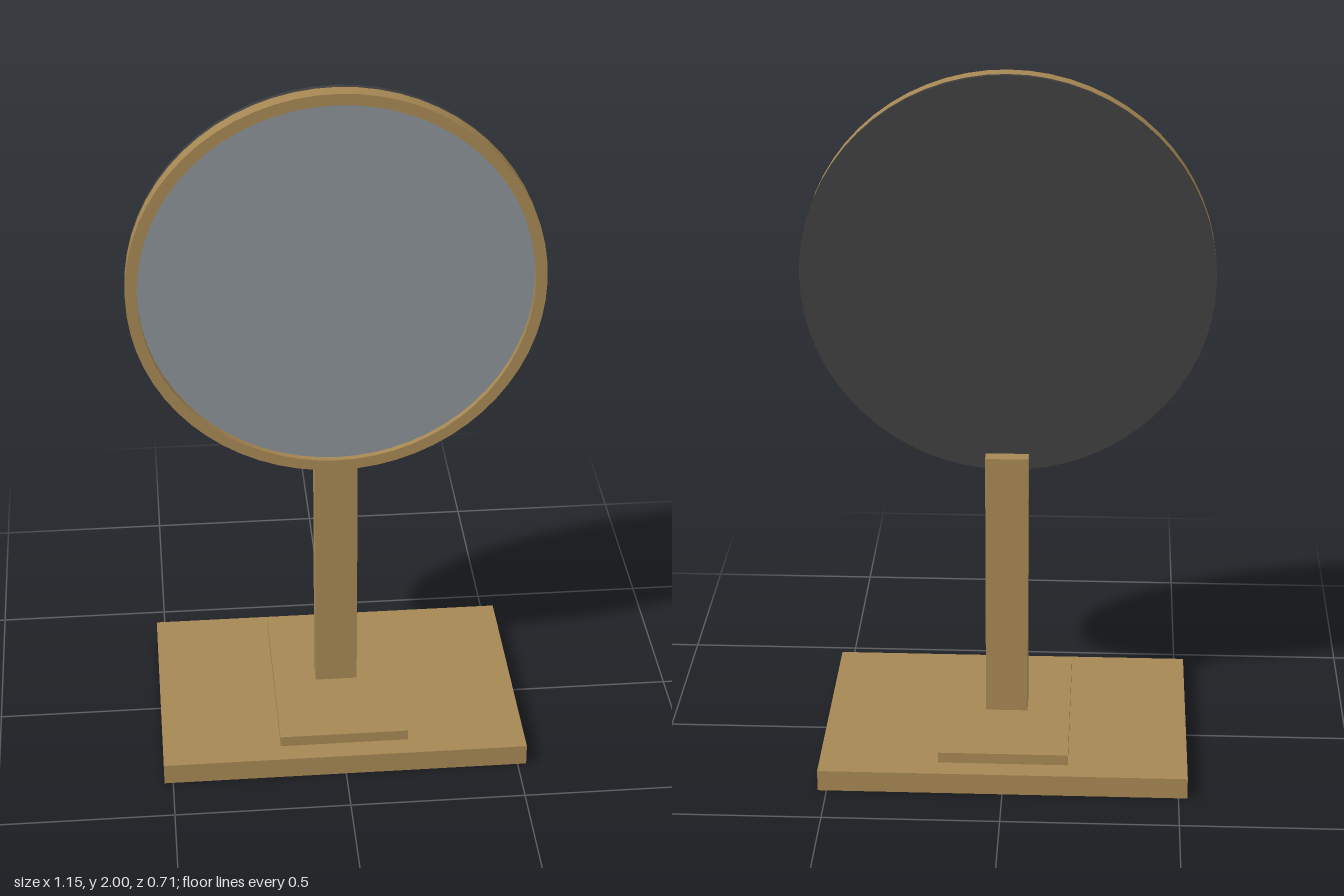
import * as THREE from 'three';

export function createModel() {
  const model = new THREE.Group();
  model.name = 'tableMirror';

  const mat = (name, color) => {
    const m = new THREE.MeshStandardMaterial({ color });
    m.name = name;
    return m;
  };
  const wood = mat('wood', 0xa68753);
  const glass = mat('mirrorGlass', 0x899195);
  const dark = mat('darkBacking', 0x3e3e3f);

  const add = (name, geometry, material) => {
    const mesh = new THREE.Mesh(geometry, material);
    mesh.name = name;
    model.add(mesh);
  };
  // Box given by its half width, y range and z range
  const box = (name, hx, y0, y1, z0, z1) => add(name,
    new THREE.BoxGeometry(hx * 2, y1 - y0, z1 - z0)
      .translate(0, (y0 + y1) / 2, (z0 + z1) / 2), wood);

  // Stand: base board, raised plinth and post
  box('base', 0.525, 0, 0.063, -0.356, 0.356);
  box('plinth', 0.185, 0.063, 0.095, -0.294, 0.294);
  box('post', 0.061, 0.095, 0.9, -0.04, 0.025);

  // Round mirror head, all discs share one centre
  const R = 0.575, INNER = 0.543, CY = 1.425, SEG = 64;
  const disc = (name, r, z0, z1, material) => add(name,
    new THREE.CylinderGeometry(r, r, z1 - z0, SEG)
      .rotateX(Math.PI / 2).translate(0, CY, (z0 + z1) / 2), material);

  disc('backPanel', R, 0, 0.015, dark);
  disc('mirror', INNER, 0.015, 0.042, glass);

  // Rim: rectangular section turned about the mirror axis, sharp at its corners
  const section = [[INNER, 0.06], [INNER, 0.015], [R, 0.015], [R, 0.06]];
  const rim = new THREE.Group();
  rim.name = 'rim';
  section.forEach((a, i) => {
    const b = section[(i + 1) % section.length];
    const points = [a, b].map(([r, z]) => new THREE.Vector2(r, z));
    const side = new THREE.Mesh(
      new THREE.LatheGeometry(points, SEG).rotateX(Math.PI / 2).translate(0, CY, 0), wood);
    side.name = ['rimInside', 'rimBack', 'rimOutside', 'rimFront'][i];
    rim.add(side);
  });
  model.add(rim);

  return model;
}
